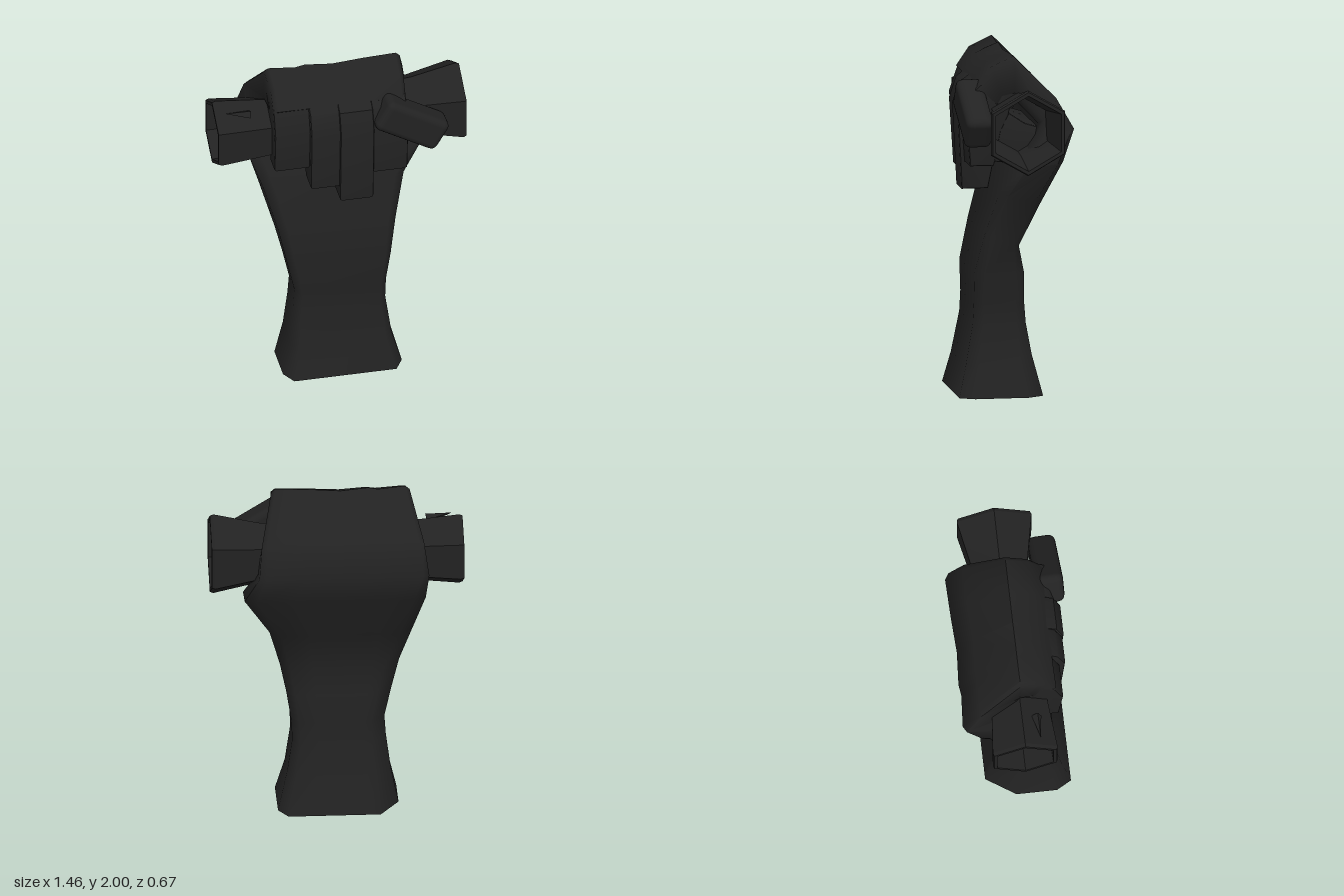
import * as THREE from 'three';
import { toCreasedNormals } from 'three/addons/utils/BufferGeometryUtils.js';
import { RoundedBoxGeometry } from 'three/addons/geometries/RoundedBoxGeometry.js';

const charcoal = new THREE.MeshStandardMaterial({ color: 0x222222, side: THREE.DoubleSide });
charcoal.name = 'charcoal';

function part(name, geometry, crease = 0.6) {
  const mesh = new THREE.Mesh(crease ? toCreasedNormals(geometry, crease) : geometry, charcoal);
  mesh.name = name;
  return mesh;
}

// Skin of cross-sections, open at the start and closed at the end:
// [front y, front z, back y, back z, min x, max x, back width on -x, on +x, knuckle waviness]
function loft(rings) {
  const pos = [], idx = [];
  let n = 0;
  for (const [fy, fz, by, bz, x0, x1, cl, cr, w] of rings) {
    const outline = [
      [-0.86, 1], [0.86, 1], [1, 0.65], [1, 1.05 - 2 * cr], [cr, -1],
      [0.45, -1 + 0.12 * w], [0, -1 + 0.32 * w], [-0.4, -1 + 0.08 * w], [-0.54, -1 + 0.24 * w],
      [-cl, -1], [-1, 1.05 - 2 * cl], [-1, 0.65],
    ];
    n = outline.length;
    for (const [a, b] of outline) {
      const t = (b + 1) / 2;
      pos.push((x0 + x1) / 2 + (a * (x1 - x0)) / 2, by + (fy - by) * t, bz + (fz - bz) * t);
    }
  }
  for (let r = 0; r < rings.length - 1; r++) {
    for (let i = 0; i < n; i++) {
      const a = r * n + i, b = r * n + (i + 1) % n;
      idx.push(a, b, b + n, a, b + n, a + n);
    }
  }
  const top = (rings.length - 1) * n;
  for (let i = 1; i < n - 1; i++) idx.push(top, top + i, top + i + 1);
  const g = new THREE.BufferGeometry();
  g.setAttribute('position', new THREE.Float32BufferAttribute(pos, 3));
  g.setIndex(idx);
  return g;
}

// Extrude a [z, y] profile across x with softened edges
function slab(profile, x0, x1) {
  const bevel = 0.014;
  const shape = new THREE.Shape(profile.map(([z, y]) => new THREE.Vector2(z, y)));
  const g = new THREE.ExtrudeGeometry(shape, {
    depth: x1 - x0 - 2 * bevel, bevelThickness: bevel, bevelSize: bevel, bevelOffset: -bevel, bevelSegments: 2,
  });
  g.rotateY(-Math.PI / 2);
  g.translate(x1 - bevel, 0, 0);
  return g;
}

// Flared hollow hexagonal handle end; side is +1 or -1 along x
function handleEnd(side, radius, y, z) {
  const profile = [
    [0.16, 0.3], [0.175, 0.3], [0.19, 0.45], [radius, 0.71], [radius - 0.008, 0.73],
    [radius - 0.03, 0.73], [0.172, 0.45], [0.16, 0.3],
  ].map(([r, d]) => new THREE.Vector2(r, d));
  const g = new THREE.LatheGeometry(profile, 6, Math.PI / 2);
  g.rotateZ(-side * Math.PI / 2);
  g.translate(0, y, z);
  return g;
}

export function createModel() {
  const model = new THREE.Group();
  model.name = 'fistWithHandle';

  // Forearm, wrist, back of the hand and knuckles in one bent skin
  model.add(part('forearmAndHand', loft([
    [0, 0.31, 0, -0.18, -0.36, 0.34, 0.68, 0.84, 0],
    [0.18, 0.265, 0.24, -0.12, -0.315, 0.285, 0.68, 0.84, 0],
    [0.42, 0.22, 0.42, -0.09, -0.288, 0.255, 0.7, 0.84, 0],
    [0.54, 0.215, 0.54, -0.08, -0.28, 0.26, 0.7, 0.84, 0],
    [0.72, 0.215, 0.72, -0.075, -0.32, 0.288, 0.72, 0.84, 0],
    [0.95, 0.16, 0.88, -0.04, -0.365, 0.325, 0.75, 0.84, 0],
    [1.2, 0.085, 1.13, -0.155, -0.435, 0.39, 0.8, 0.84, 0],
    [1.37, 0, 1.4, -0.265, -0.505, 0.54, 0.87, 0.87, 0.3],
    [1.54, -0.12, 1.58, -0.337, -0.52, 0.46, 0.93, 0.92, 0.5],
    [1.61, -0.135, 1.76, -0.235, -0.495, 0.44, 0.94, 0.93, 0.5],
    [1.75, 0, 2, 0.005, -0.425, 0.375, 0.94, 0.94, 0.55],
    [1.74, 0.06, 1.94, 0.14, -0.413, 0.37, 0.94, 0.94, 0.4],
    [1.7, 0.08, 1.83, 0.215, -0.41, 0.368, 0.94, 0.94, 0.2],
  ]), 1.15));

  // Curled pad that closes the grip beneath the handle
  model.add(part('gripPad', slab([
    [0.03, 1.67], [-0.06, 1.61], [-0.16, 1.58], [-0.2, 1.45], [-0.02, 1.37], [0.13, 1.39], [0.16, 1.62],
  ], -0.2, 0.36)));

  // Four fingers: [name, min x, max x, tip y, front z]
  const fingers = [
    ['littleFinger', -0.412, -0.2, 1.43, 0.255],
    ['ringFinger', -0.205, -0.03, 1.3, 0.29],
    ['middleFinger', -0.035, 0.165, 1.2, 0.3],
    ['indexFinger', 0.16, 0.368, 1.365, 0.285],
  ];
  for (const [name, x0, x1, tip, front] of fingers) {
    model.add(part(name, slab([
      [-0.02, 1.77], [0.02, 1.73], [0.035, 1.66], [0.08, tip + 0.2], [0.12, tip],
      [front - 0.025, tip], [front, 1.68], [front - 0.04, 1.8], [0.2, 1.84], [0.13, 1.9], [-0.02, 1.9],
    ], x0, x1)));
  }

  // Thumb folded diagonally over the index finger
  const thumb = part('thumb', new RoundedBoxGeometry(0.42, 0.2, 0.16, 2, 0.04), 0);
  thumb.position.set(0.385, 1.68, 0.245);
  thumb.rotation.set(0, 0.04, -0.54);
  model.add(thumb);

  // Handle ends
  model.add(part('handleLeftEnd', handleEnd(1, 0.25, 1.61, -0.02), 0.3));
  model.add(part('handleRightEnd', handleEnd(-1, 0.217, 1.595, 0), 0.3));

  // Small bent splinter on the right handle end
  const splinter = part('splinter', new THREE.ConeGeometry(0.03, 0.15, 4), 0.3);
  splinter.position.set(-0.6, 1.765, 0.09);
  splinter.rotation.set(0.3, 0, 1.35);
  model.add(splinter);

  return model;
}
